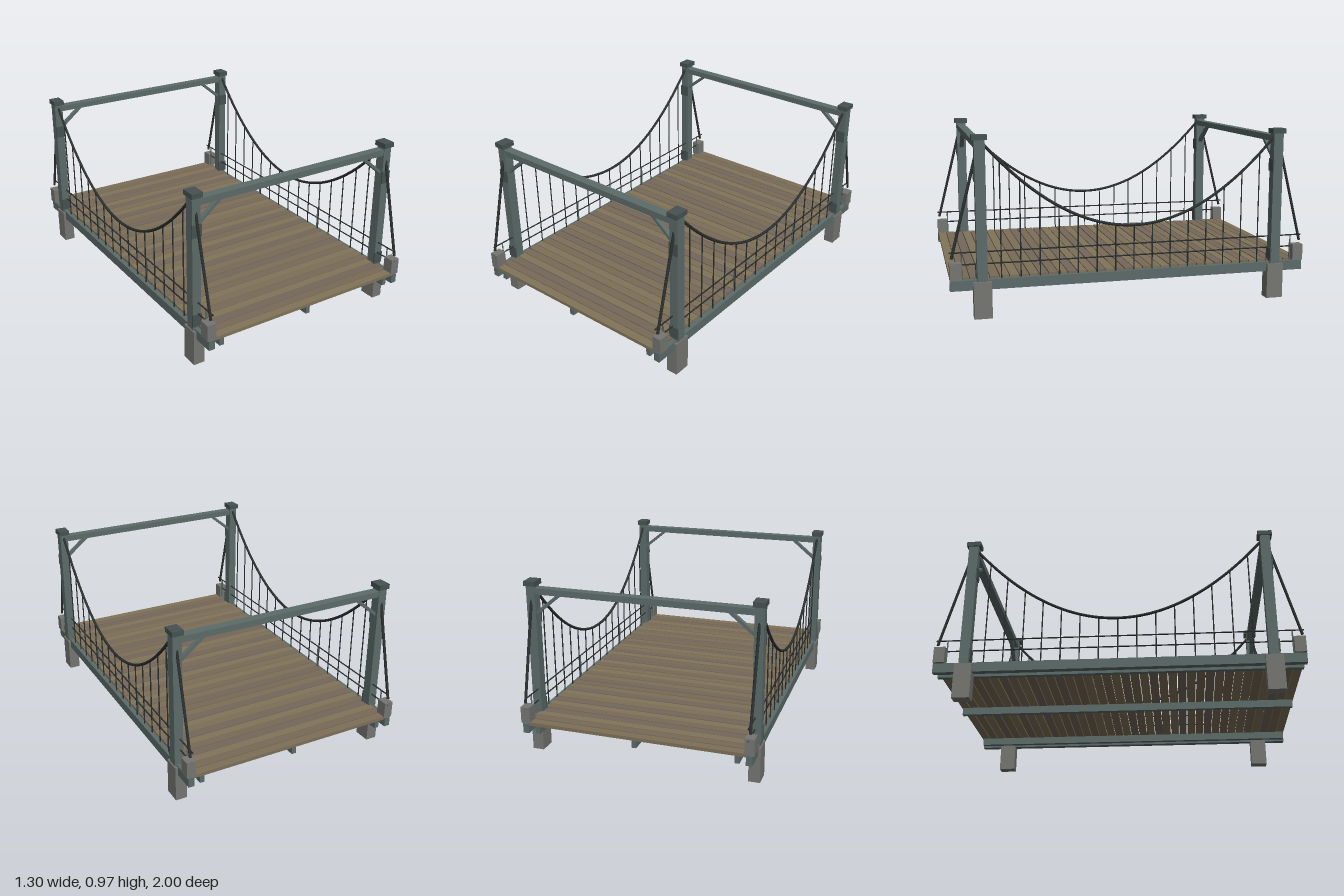
import * as THREE from 'three';

const mat = (color) => new THREE.MeshStandardMaterial({ color });

export function createModel() {
  const bridge = new THREE.Group();
  bridge.name = 'suspensionBridge';
  const steel = mat(0x5c6b69), darkSteel = mat(0x465250), cableMat = mat(0x2c302f);
  const concrete = mat(0x757572);
  const woods = [0x7d7059, 0x786a57, 0x81745a, 0x74685a].map(mat);

  const add = (name, geometry, material, parent = bridge) => {
    const mesh = new THREE.Mesh(geometry, material);
    mesh.name = name;
    parent.add(mesh);
    return mesh;
  };
  // box given by its centre and size
  const box = (name, material, [x, y, z], [w, h, d], parent) => {
    const mesh = add(name, new THREE.BoxGeometry(w, h, d), material, parent);
    mesh.position.set(x, y, z);
    return mesh;
  };
  // round bar between two points
  const rod = (name, material, a, b, r, parent, sides = 8) => {
    const p = new THREE.Vector3(...a), q = new THREE.Vector3(...b);
    const dir = q.clone().sub(p);
    const mesh = add(name, new THREE.CylinderGeometry(r, r, dir.length(), sides), material, parent);
    mesh.position.copy(p).lerp(q, 0.5);
    mesh.quaternion.setFromUnitVectors(new THREE.Vector3(0, 1, 0), dir.normalize());
    return mesh;
  };

  const X = 0.62, Z = 0.83;
  const cableY = (z) => 0.46 + 0.485 * (z / Z) ** 2;

  // deck planks with narrow gaps
  const deck = new THREE.Group();
  deck.name = 'deck';
  bridge.add(deck);
  const planks = 38, pitch = 2 / planks;
  for (let i = 0; i < planks; i++) {
    const lift = ((i * 7) % 5) * 0.0005;
    box('plank', woods[(i * 5 + (i >> 2)) % 4], [0, 0.21 + lift, -1 + (i + 0.5) * pitch],
      [1.22, 0.019, pitch - 0.005], deck);
  }

  // stringers under the deck
  for (const x of [-0.555, 0, 0.555]) box('stringer', steel, [x, 0.177, 0], [0.026, 0.044, 1.98]);

  // portal frames
  for (const z of [-Z, Z]) {
    const portal = new THREE.Group();
    portal.name = 'portal';
    bridge.add(portal);
    box('crossBeam', steel, [0, 0.915, z], [1.2, 0.034, 0.05], portal);
    for (const s of [-1, 1]) {
      box('pier', concrete, [s * X, 0.1, z], [0.064, 0.2, 0.096], portal);
      box('towerPost', steel, [s * X, 0.575, z], [0.05, 0.75, 0.056], portal);
      box('towerCap', darkSteel, [s * X, 0.957, z], [0.064, 0.027, 0.08], portal);
      for (const y of [0.255, 0.765])
        box('splicePlate', darkSteel, [s * X, y, z + 0.029], [0.055, 0.07, 0.008], portal);
      // diagonal knee brace
      const brace = box('kneeBrace', steel, [s * 0.53, 0.846, z], [0.175, 0.017, 0.025], portal);
      brace.rotation.z = -s * Math.atan2(0.11, 0.135);
    }
  }

  // cable planes, one per side
  for (const s of [-1, 1]) {
    const side = new THREE.Group();
    side.name = s > 0 ? 'leftSide' : 'rightSide';
    bridge.add(side);
    const x = s * X;
    box('girder', steel, [x, 0.182, 0], [0.034, 0.054, 2], side);

    // main cable
    const points = [];
    for (let i = -16; i <= 16; i++) {
      const z = (i / 16) * Z;
      points.push(new THREE.Vector3(x, cableY(z), z));
    }
    add('mainCable', new THREE.TubeGeometry(new THREE.CatmullRomCurve3(points), 64, 0.008, 8), cableMat, side);

    // hangers
    for (let i = -7; i <= 7; i++) {
      const z = i * 0.104;
      rod('hanger', cableMat, [x, 0.205, z], [x, cableY(z), z], 0.0035, side, 6);
    }

    // backstays and anchor blocks
    for (const e of [-1, 1]) {
      rod('backstay', cableMat, [x, 0.945, e * Z], [x, 0.325, e * 0.988], 0.008, side);
      box('anchorBlock', concrete, [x, 0.258, e * 0.969], [0.052, 0.092, 0.062], side);
    }

    // handrails and their posts
    const railX = s * 0.612;
    for (const y of [0.29, 0.355])
      rod('handrail', cableMat, [railX, y, -1], [railX, y, 1], 0.004, side, 6);
    for (const z of [-0.936, -0.312, 0.312, 0.936])
      rod('railPost', steel, [railX, 0.205, z], [railX, 0.355, z], 0.004, side, 6);
  }
  return bridge;
}
